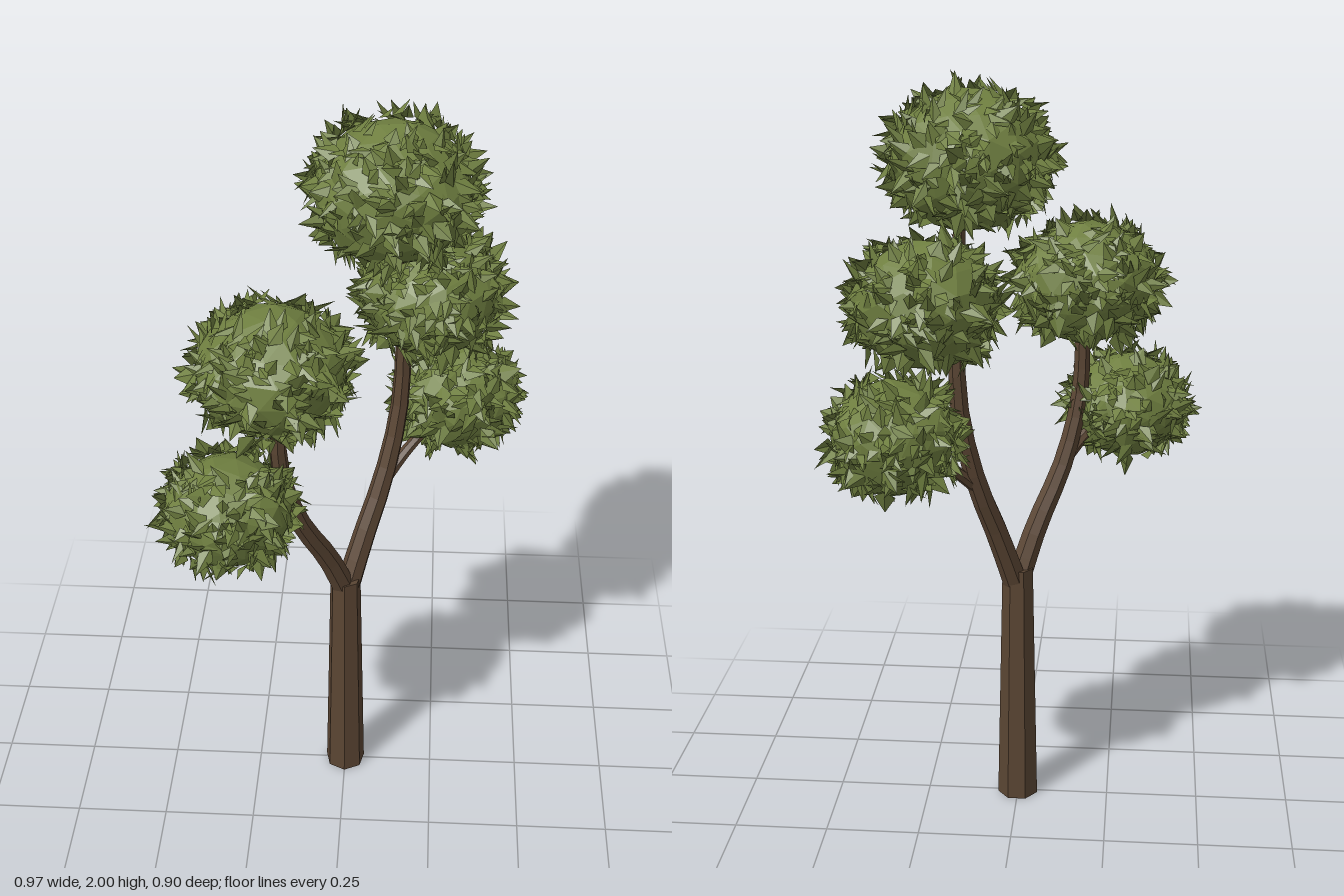
import * as THREE from 'three';

const V = (x, y, z) => new THREE.Vector3(x, y, z);

// Small seeded random generator
function seeded(seed) {
  let s = seed;
  return () => {
    s = (s + 0x6d2b79f5) | 0;
    let t = Math.imul(s ^ (s >>> 15), 1 | s);
    t = (t + Math.imul(t ^ (t >>> 7), 61 | t)) ^ t;
    return ((t ^ (t >>> 14)) >>> 0) / 4294967296;
  };
}

// Tube along a curve whose radius shrinks from r0 to r1
function taperedTube(points, r0, r1, sides = 7, steps = 12) {
  const curve = new THREE.CatmullRomCurve3(points);
  const geo = new THREE.TubeGeometry(curve, steps, 1, sides);
  const pos = geo.attributes.position;
  const p = V(0, 0, 0);
  for (let i = 0; i <= steps; i++) {
    const c = curve.getPointAt(i / steps);
    const r = r0 + (r1 - r0) * (i / steps);
    for (let j = 0; j <= sides; j++) {
      const k = i * (sides + 1) + j;
      p.fromBufferAttribute(pos, k).sub(c).multiplyScalar(r).add(c);
      pos.setXYZ(k, p.x, p.y, p.z);
    }
  }
  return geo;
}

// Squashed, slightly lumpy ball under the leaves
function crownCore(rx, ry) {
  const geo = new THREE.IcosahedronGeometry(1, 2);
  const pos = geo.attributes.position;
  for (let i = 0; i < pos.count; i++) {
    const x = pos.getX(i), y = pos.getY(i), z = pos.getZ(i);
    const k = 0.98 + 0.035 * Math.sin(4 * x + 1) * Math.cos(5 * z) + 0.02 * Math.sin(6 * y);
    pos.setXYZ(i, x * rx * k, y * ry * k, z * rx * k);
  }
  geo.computeVertexNormals();
  return geo;
}

// Folded pointed leaves spread over the ball, sparse near its poles
function leafShell(rx, ry, count, rand) {
  const out = [];
  const push = (...pts) => pts.forEach((p) => out.push(p.x, p.y, p.z));
  for (let i = 0; i < count; i++) {
    const y = -0.8 + 1.72 * ((i + 0.5) / count);
    const a = i * 2.39996 + rand() * 0.6;
    const h = Math.sqrt(1 - y * y);
    const normal = V(h * Math.cos(a), y, h * Math.sin(a));
    const tangent = V(rand() - 0.5, rand() - 0.5, rand() - 0.5)
      .projectOnPlane(normal).normalize();
    const lift = 0.15 + 0.6 * rand() * (0.4 + 0.6 * h);
    const dir = tangent.clone().multiplyScalar(1 - lift * 0.5).addScaledVector(normal, lift).normalize();
    const side = V(0, 0, 0).crossVectors(dir, normal).normalize();
    const up = V(0, 0, 0).crossVectors(side, dir);
    const len = 0.045 + 0.035 * rand();
    const wide = 0.015 + 0.012 * rand();
    const base = V(normal.x * rx, normal.y * ry, normal.z * rx).multiplyScalar(0.97);
    const tip = base.clone().addScaledVector(dir, len);
    const mid = base.clone().addScaledVector(dir, len * 0.35);
    const left = mid.clone().addScaledVector(side, wide).addScaledVector(up, -0.008);
    const right = mid.clone().addScaledVector(side, -wide).addScaledVector(up, -0.008);
    push(base, tip, left, base, right, tip);
  }
  const geo = new THREE.BufferGeometry();
  geo.setAttribute('position', new THREE.Float32BufferAttribute(out, 3));
  geo.computeVertexNormals();
  return geo;
}

export function createModel() {
  const model = new THREE.Group();
  model.name = 'tree';
  const bark = new THREE.MeshStandardMaterial({ color: 0x5a4533, flatShading: true });
  bark.name = 'brown bark';
  const leaf = new THREE.MeshStandardMaterial({ color: 0x6f7f40, flatShading: true, side: THREE.DoubleSide });
  leaf.name = 'olive leaf';
  const add = (parent, name, geo, mat) => {
    const mesh = new THREE.Mesh(geo, mat);
    mesh.name = name;
    parent.add(mesh);
    return mesh;
  };

  // Trunk, a little wider at the foot
  const trunk = add(model, 'trunk', new THREE.CylinderGeometry(0.042, 0.056, 0.68, 7), bark);
  trunk.position.y = 0.34;

  // Branches: name, start radius, end radius, path
  const branches = [
    ['leftBranch', 0.033, 0.018, [V(0, 0.64, 0), V(-0.045, 0.78, 0.04), V(-0.115, 0.95, 0.105),
      V(-0.155, 1.13, 0.145), V(-0.16, 1.4, 0.15)]],
    ['rightBranch', 0.034, 0.014, [V(0.006, 0.64, -0.006), V(0.045, 0.78, -0.045), V(0.1, 0.96, -0.1),
      V(0.135, 1.15, -0.135), V(0.142, 1.32, -0.142), V(0.13, 1.72, -0.12)]],
    ['leftTwig', 0.018, 0.012, [V(-0.115, 0.95, 0.105), V(-0.18, 1.02, 0.16), V(-0.27, 1.08, 0.23)]],
    ['rightTwig', 0.018, 0.012, [V(0.09, 0.93, -0.09), V(0.16, 1.01, -0.15), V(0.27, 1.1, -0.24)]],
  ];
  for (const [name, r0, r1, path] of branches) add(model, name, taperedTube(path, r0, r1), bark);

  // Leaf crowns: name, centre, radius, half height, leaf count
  const crowns = [
    ['topCrown', V(0.11, 1.79, -0.1), 0.2, 0.175, 380],
    ['upperLeftCrown', V(-0.17, 1.435, 0.155), 0.188, 0.162, 340],
    ['upperRightCrown', V(0.21, 1.455, -0.21), 0.18, 0.16, 340],
    ['lowerLeftCrown', V(-0.28, 1.075, 0.235), 0.16, 0.143, 290],
    ['lowerRightCrown', V(0.29, 1.125, -0.255), 0.158, 0.147, 290],
  ];
  crowns.forEach(([name, centre, rx, ry, count], i) => {
    const crown = new THREE.Group();
    crown.name = name;
    crown.position.copy(centre);
    add(crown, 'crownCore', crownCore(rx, ry), leaf).rotation.y = i * 1.3;
    add(crown, 'leaves', leafShell(rx, ry, count, seeded(11 + i * 7)), leaf);
    model.add(crown);
  });
  return model;
}
